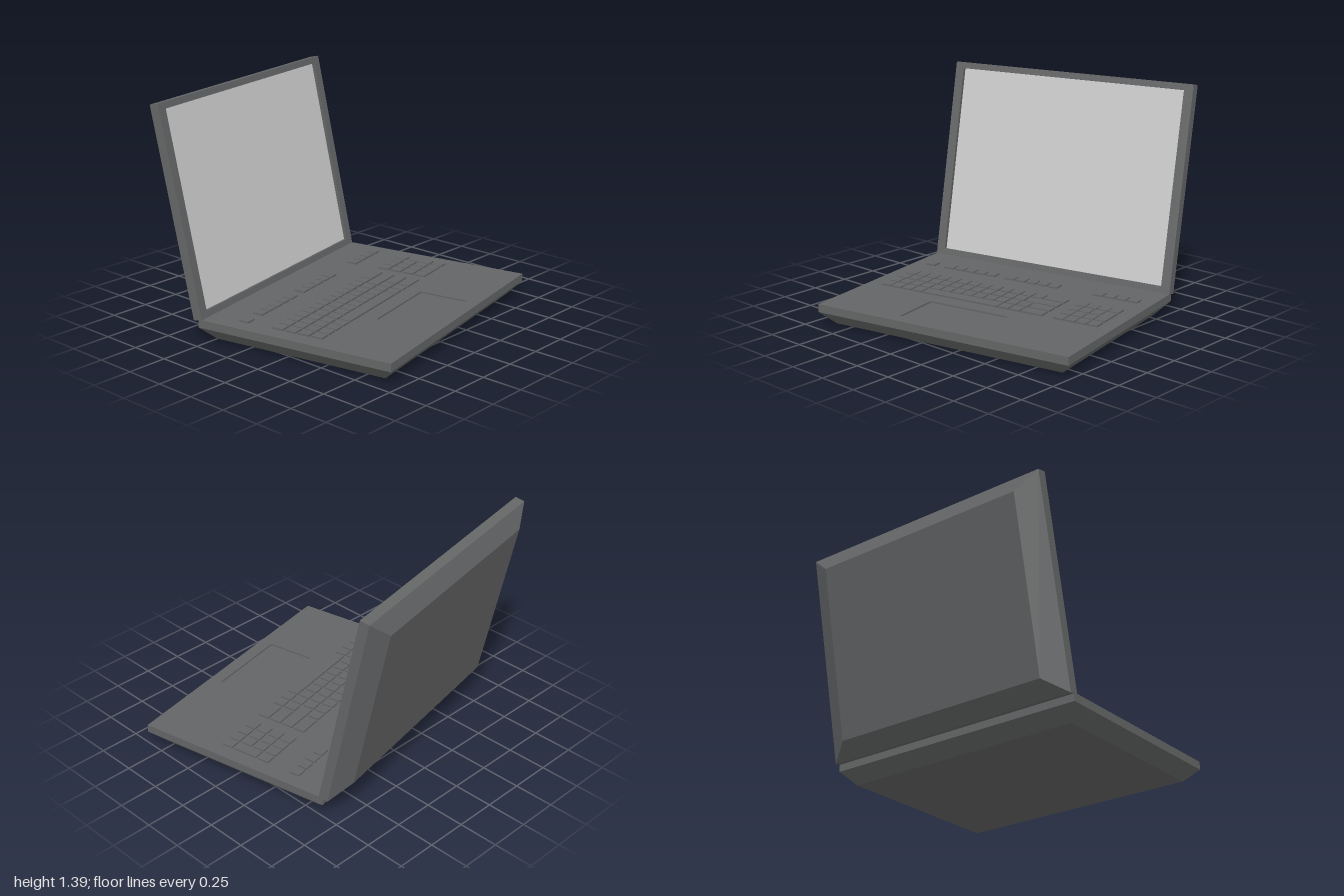
import * as THREE from 'three';

const bodyMat = new THREE.MeshStandardMaterial({ color: 0x646566, flatShading: true });
const screenMat = new THREE.MeshStandardMaterial({ color: 0xcccccc });

const WIDTH = 1.712, DEPTH = 1.285, THICK = 0.13;

function addMesh(parent, name, geometry, material = bodyMat) {
  const mesh = new THREE.Mesh(geometry, material);
  mesh.name = name;
  parent.add(mesh);
  return mesh;
}

function rectangle(PathType, x0, x1, y0, y1) {
  return new PathType([[x0, y0], [x1, y0], [x1, y1], [x0, y1]].map(p => new THREE.Vector2(...p)));
}

// Half of the clamshell: face at z = 0 towards +z with a recessed window,
// a straight rim, then a back that narrows by insetX and insetY.
function caseHalf(name, { rim, insetX, insetY, hole, recess }) {
  const half = new THREE.Group();
  half.name = name;

  const face = rectangle(THREE.Shape, -WIDTH / 2, WIDTH / 2, -DEPTH / 2, DEPTH / 2);
  face.holes.push(rectangle(THREE.Path, ...hole));
  const faceGeo = new THREE.ExtrudeGeometry(face, { depth: recess, bevelEnabled: false });
  addMesh(half, name + 'Face', faceGeo.translate(0, 0, -recess));

  const rimGeo = new THREE.BoxGeometry(WIDTH, DEPTH, rim - recess);
  addMesh(half, name + 'Rim', rimGeo.translate(0, 0, -(rim + recess) / 2));

  const backGeo = new THREE.BoxGeometry(WIDTH, DEPTH, THICK - rim);
  const pos = backGeo.attributes.position;
  for (let i = 0; i < pos.count; i++) {
    if (pos.getZ(i) > 0) continue;
    pos.setX(i, pos.getX(i) - Math.sign(pos.getX(i)) * insetX);
    pos.setY(i, pos.getY(i) - Math.sign(pos.getY(i)) * insetY);
  }
  backGeo.translate(0, 0, -(THICK + rim) / 2);
  backGeo.computeVertexNormals();
  addMesh(half, name + 'Back', backGeo);
  return half;
}

function buildKeyboard() {
  const keys = new THREE.Group();
  keys.name = 'keyboard';
  const PITCH = 0.0777, KEY = 0.066, KEY_DEPTH = 0.072;
  const rows = [-0.158, -0.07, 0.018, 0.106];

  // Spans run from the model's right-hand keys to its left-hand keys
  const key = (from, to, z, depth = KEY_DEPTH) => {
    const k = addMesh(keys, 'key', new THREE.BoxGeometry(to - from, 0.014, depth));
    k.position.set(-(from + to) / 2, 0.004, z);
  };
  const run = (first, count, z, pitch = PITCH, depth = KEY_DEPTH) => {
    for (let i = 0; i < count; i++) {
      const c = first + i * pitch;
      key(c - KEY / 2, c + KEY / 2, z, depth);
    }
  };

  // Top row of small keys in separated groups
  for (const [first, count] of [[-0.734, 4], [-0.184, 5], [0.272, 5], [0.729, 1]]) {
    run(first, count, -0.387, 0.0785, 0.064);
  }

  // Number pad with one tall key
  for (const z of rows) run(-0.655, 3, z, 0.075);
  run(-0.73, 1, rows[0]);
  key(-0.763, -0.697, (rows[1] + rows[2]) / 2, 0.16);
  run(-0.73, 1, rows[3]);

  // Main block: a wide key at the end of each row, then single keys
  key(-0.397, -0.255, rows[0]);
  run(-0.209, 13, rows[0]);
  key(-0.397, -0.18, rows[1]);
  run(-0.132, 12, rows[1]);
  key(-0.397, -0.255, rows[2]);
  run(-0.209, 13, rows[2]);
  key(-0.397, -0.255, rows[3]);
  run(-0.209, 2, rows[3]);
  key(-0.087, 0.445, rows[3]);
  run(0.49, 4, rows[3]);
  return keys;
}

export function createModel() {
  const model = new THREE.Group();
  model.name = 'laptop';

  const laptop = new THREE.Group();
  laptop.name = 'openLaptop';
  laptop.position.set(0.155, THICK, -0.035);
  laptop.rotation.y = THREE.MathUtils.degToRad(101.1);
  model.add(laptop);

  // Base with a sunken trackpad
  const base = caseHalf('base', {
    rim: 0.05, insetX: 0.077, insetY: 0.077,
    hole: [-0.314, 0.232, -0.56, -0.244], recess: 0.01,
  });
  base.rotation.x = -Math.PI / 2;
  laptop.add(base, buildKeyboard());

  // Lid leaning back from the hinge line
  const hinge = new THREE.Group();
  hinge.name = 'hingedLid';
  hinge.position.z = -0.617;
  hinge.rotation.x = -THREE.MathUtils.degToRad(11.9);
  laptop.add(hinge);

  const sx = WIDTH / 2 - 0.06, sy = DEPTH / 2 - 0.04;
  const lid = caseHalf('lid', {
    rim: 0.06, insetX: 0.136, insetY: 0.104,
    hole: [-sx, sx, -sy, sy], recess: 0.022,
  });
  lid.position.y = DEPTH / 2;
  hinge.add(lid);

  // Display panel at the bottom of the lid recess
  const screen = addMesh(lid, 'screen', new THREE.PlaneGeometry(2 * sx, 2 * sy), screenMat);
  screen.position.z = -0.02;

  return model;
}
